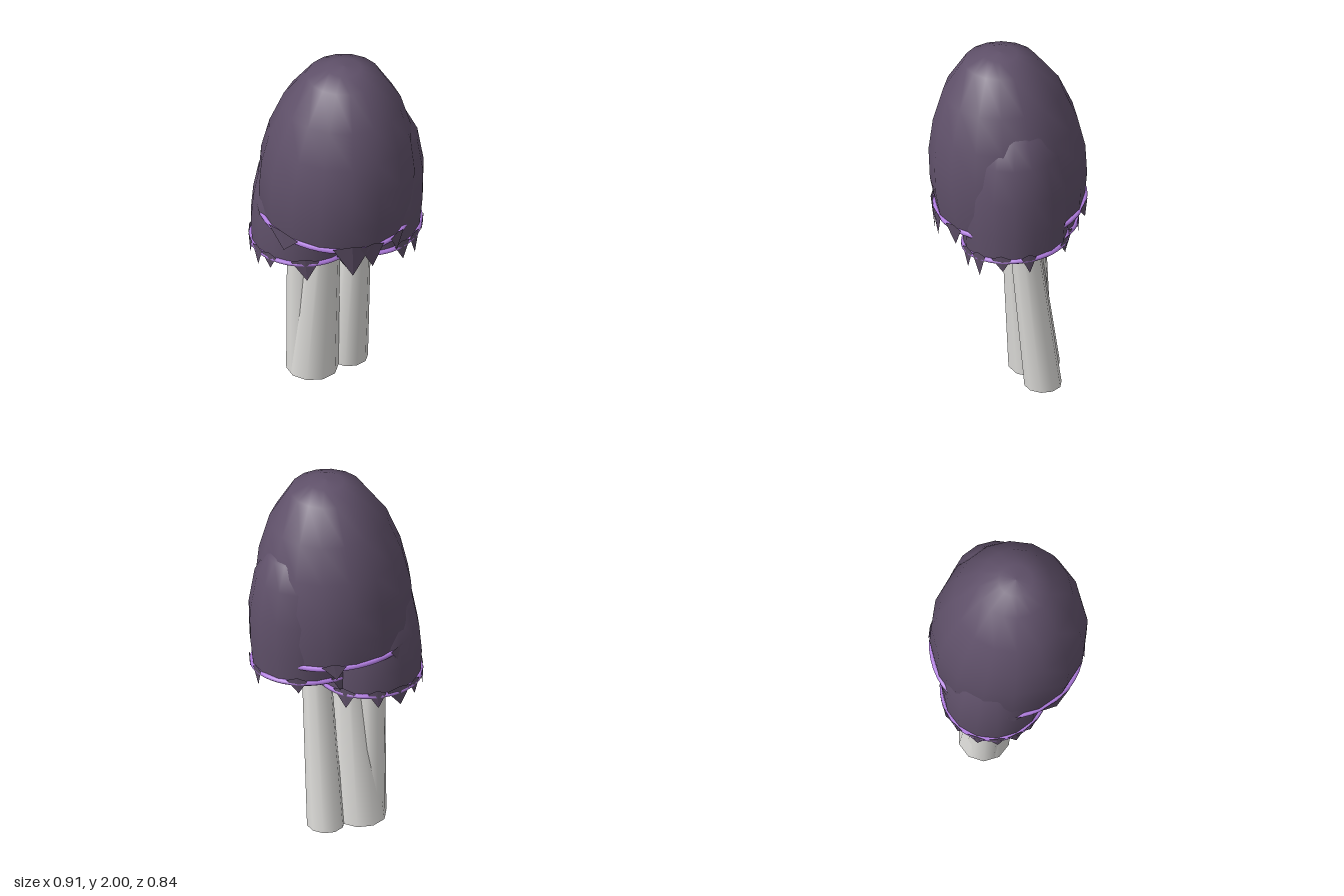
import * as THREE from 'three';

const mat = (name, color) => {
  const m = new THREE.MeshStandardMaterial({ color, side: THREE.DoubleSide });
  m.name = name;
  return m;
};

const SEGMENTS = 16;

// profile: [radius, y] from rim to crown; tilt: rim slope along x and z; lean: crown shift
const caps = [
  {
    name: 'mainCap', centre: [0, 0], lean: [0.06, 0.035], tilt: [-0.08, -0.03],
    profile: [[0.393, 1.08], [0.413, 1.22], [0.412, 1.4], [0.38, 1.58], [0.314, 1.77], [0.195, 1.945], [0.09, 1.99], [0, 2]],
    // [angle in degrees from the front, half width in degrees, length]
    tatters: [[-31, 15, 0.08], [25, 14, 0.15], [41, 10, 0.11], [66, 8, 0.08], [100, 9, 0.07],
      [140, 9, 0.06], [185, 9, 0.06], [243, 12, 0.11], [290, 10, 0.07]],
  },
  {
    name: 'leftCap', centre: [0.165, -0.1], lean: [0.01, 0], tilt: [0.02, -0.11],
    profile: [[0.272, 0.95], [0.284, 1.1], [0.284, 1.3], [0.25, 1.5], [0.185, 1.63], [0.09, 1.73], [0, 1.76]],
    tatters: [[-10, 16, 0.08], [50, 10, 0.08], [70, 9, 0.1], [98, 11, 0.06], [128, 8, 0.08],
      [180, 11, 0.06], [236, 18, 0.13], [300, 12, 0.08]],
  },
  {
    name: 'rightCap', centre: [-0.17, -0.01], lean: [0, 0.01], tilt: [0, 0],
    profile: [[0.272, 0.865], [0.28, 1], [0.268, 1.15], [0.238, 1.3], [0.175, 1.45], [0.08, 1.57], [0, 1.6]],
    tatters: [[14, 15, 0.1], [62, 12, 0.08], [80, 9, 0.07], [-28, 10, 0.06], [-47, 9, 0.08], [-68, 9, 0.07],
      [-90, 10, 0.07], [-115, 9, 0.06], [222, 15, 0.08], [196, 10, 0.07], [160, 13, 0.08], [115, 12, 0.08]],
  },
];

// Maps an upright point of a cap into its leaning, tilted place
function place(cap, p) {
  const y0 = cap.profile[0][1], y1 = cap.profile.at(-1)[1];
  const t = (p.y - y0) / (y1 - y0);
  const a = Math.atan2(p.x, p.z);
  const wobble = 1 + 0.01 * Math.sin(3 * a + 5 * t) * (1 - t);
  return new THREE.Vector3(
    cap.centre[0] + p.x * wobble + cap.lean[0] * t,
    p.y + (cap.tilt[0] * p.x + cap.tilt[1] * p.z) * (1 - t),
    cap.centre[1] + p.z * wobble + cap.lean[1] * t);
}

function makeCap(cap, capMat, rimMat) {
  const group = new THREE.Group();
  group.name = cap.name;

  // Bell-shaped open skin
  const skin = new THREE.LatheGeometry(cap.profile.map(([r, y]) => new THREE.Vector2(r, y)), SEGMENTS);
  const pos = skin.attributes.position, v = new THREE.Vector3();
  for (let i = 0; i < pos.count; i++) {
    v.copy(place(cap, v.fromBufferAttribute(pos, i)));
    pos.setXYZ(i, v.x, v.y, v.z);
  }
  const bell = new THREE.Mesh(skin, capMat);
  bell.name = 'bell';
  group.add(bell);

  // Bright bead along the rim
  const [rimR, rimY] = cap.profile[0];
  const ring = [];
  for (let i = 0; i < SEGMENTS; i++) {
    const a = i / SEGMENTS * Math.PI * 2;
    ring.push(place(cap, new THREE.Vector3(rimR * Math.sin(a), rimY, rimR * Math.cos(a))));
  }
  const curve = new THREE.CatmullRomCurve3(ring, true);
  const rim = new THREE.Mesh(new THREE.TubeGeometry(curve, 48, 0.014, 6, true), rimMat);
  rim.name = 'rim';
  group.add(rim);

  // Torn, pointed shreds hanging over the rim
  const verts = [];
  const at = (deg, dy, k) => {
    const a = THREE.MathUtils.degToRad(deg);
    return place(cap, new THREE.Vector3(rimR * k * Math.sin(a), rimY + dy, rimR * k * Math.cos(a))).toArray();
  };
  for (const [a, w, len] of cap.tatters) {
    const left = at(a - w, 0.02, 1.05), mid = at(a, 0.04, 1.055), right = at(a + w, 0.02, 1.05);
    const tip = at(a + w * 0.15, -len, 1.03);
    verts.push(...left, ...tip, ...mid, ...mid, ...tip, ...right);
  }
  const shreds = new THREE.BufferGeometry();
  shreds.setAttribute('position', new THREE.Float32BufferAttribute(verts, 3));
  shreds.computeVertexNormals();
  const tatters = new THREE.Mesh(shreds, capMat);
  tatters.name = 'tatters';
  group.add(tatters);
  return group;
}

// Open tapered tube sheared from a foot point to a head point
function makeStem(name, foot, head, rFoot, rHead, material) {
  const g = new THREE.CylinderGeometry(rHead, rFoot, 1, 10, 1, true).translate(0, 0.5, 0);
  const d = head.map((h, i) => h - foot[i]);
  g.applyMatrix4(new THREE.Matrix4().set(
    1, d[0], 0, foot[0],
    0, d[1], 0, foot[1],
    0, d[2], 1, foot[2],
    0, 0, 0, 1));
  const mesh = new THREE.Mesh(g, material);
  mesh.name = name;
  return mesh;
}

export function createModel() {
  const capMat = mat('dusky purple', 0x5f5069);
  const rimMat = mat('bright violet', 0xb27de2);
  const stemMat = mat('pale grey', 0xdddcd9);

  const model = new THREE.Group();
  model.name = 'mushroomCluster';
  for (const cap of caps) model.add(makeCap(cap, capMat, rimMat));
  model.add(
    makeStem('mainStem', [-0.135, 0, -0.075], [-0.015, 1.6, 0.03], 0.138, 0.06, stemMat),
    makeStem('rightStem', [-0.178, 0.01, -0.06], [-0.175, 1.4, -0.01], 0.093, 0.078, stemMat),
    makeStem('leftStem', [0.035, 0.005, -0.2], [0.14, 1.6, -0.05], 0.1, 0.06, stemMat));
  return model;
}
